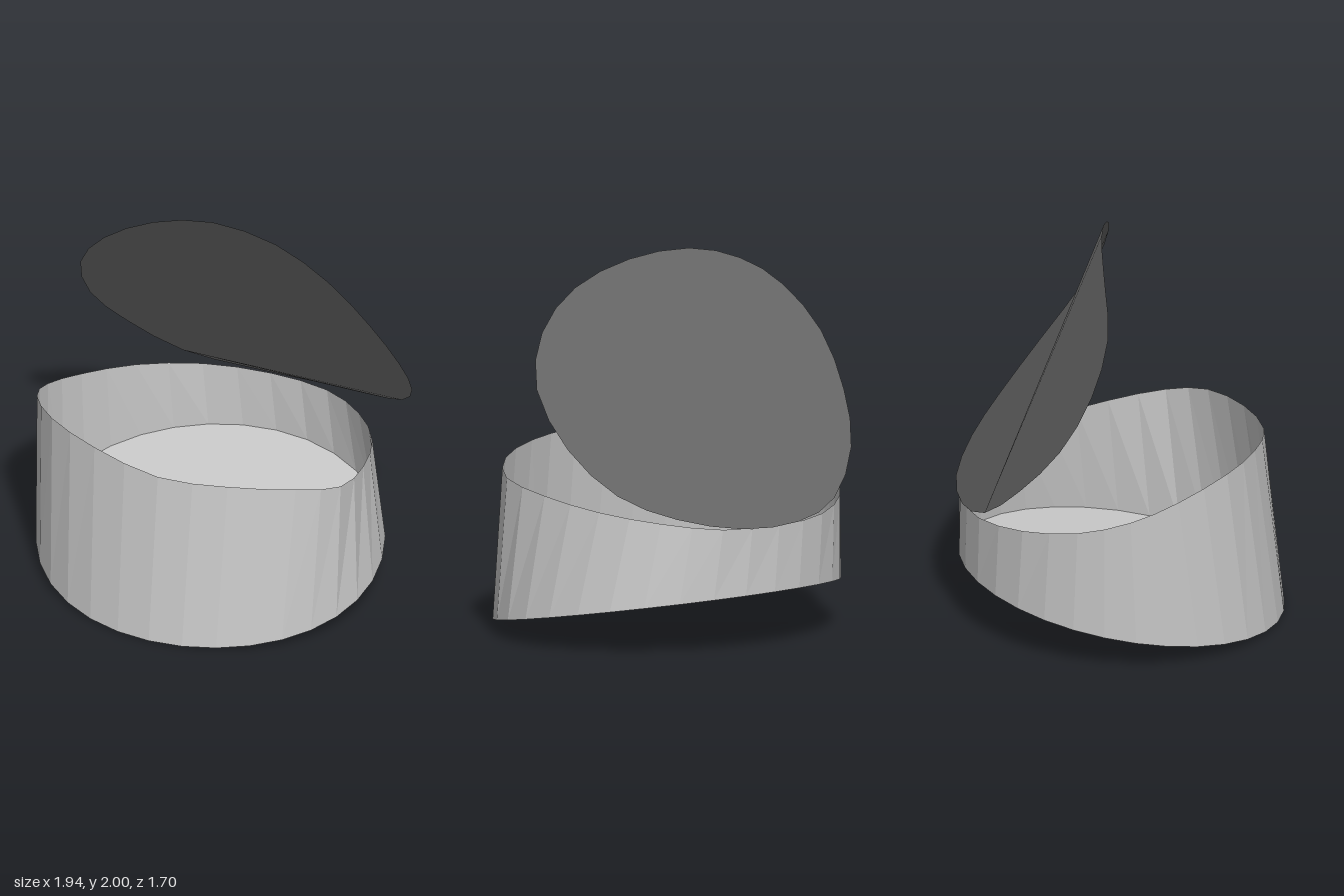
import * as THREE from 'three';

const SEGMENTS = 32;

// Resample a closed outline, front or top point first, running towards +x
function outline(points) {
  const curve = new THREE.CatmullRomCurve3(
    points.map((p) => new THREE.Vector3(...p)), true, 'catmullrom', 0.5);
  return curve.getPoints(SEGMENTS).slice(0, SEGMENTS);
}

// Unindexed triangles keep every facet flat
function facets(corners) {
  const geometry = new THREE.BufferGeometry().setFromPoints(corners);
  geometry.computeVertexNormals();
  return geometry;
}

// Fill a loop with a fan of triangles from one of its corners
function fan(loop, start = 0) {
  const at = (i) => loop[(start + i) % loop.length];
  const corners = [];
  for (let i = 1; i < loop.length - 1; i++) corners.push(at(0), at(i), at(i + 1));
  return facets(corners);
}

// Join two loops with a band of quads
function band(lower, upper) {
  const corners = [];
  lower.forEach((a, i) => {
    const j = (i + 1) % lower.length;
    corners.push(a, lower[j], upper[j], a, upper[j], upper[i]);
  });
  return facets(corners);
}

export function createModel() {
  const model = new THREE.Group();
  const bodyGrey = new THREE.MeshStandardMaterial({ color: 0xc8c8c8, side: THREE.DoubleSide });
  bodyGrey.name = 'light grey';
  const lidGrey = new THREE.MeshStandardMaterial({ color: 0x666666, side: THREE.DoubleSide });
  lidGrey.name = 'dark grey';

  const add = (name, geometry, material) => {
    const mesh = new THREE.Mesh(geometry, material);
    mesh.name = name;
    model.add(mesh);
  };

  // Tilted oval base, slightly fuller on the +x side
  const base = Array.from({ length: SEGMENTS }, (_, i) => {
    const t = (i / SEGMENTS) * Math.PI * 2;
    const s = Math.sin(t);
    const z = 0.843 * Math.cos(t) + 0.03 * s * s * (1 + s);
    return new THREE.Vector3(-0.037 + 0.925 * s, Math.max(0, (0.843 - z) * 0.178), z);
  });

  // Wavy upper rim of the container
  const rim = outline([
    [-0.03, 0.947, 0.74], [0.33, 0.932, 0.665], [0.645, 0.9, 0.505], [0.81, 0.84, 0.3],
    [0.81, 0.787, 0], [0.72, 0.735, -0.33], [0.53, 0.69, -0.6], [0.27, 0.655, -0.79],
    [-0.07, 0.645, -0.84], [-0.42, 0.657, -0.77], [-0.71, 0.695, -0.57], [-0.9, 0.75, -0.3],
    [-0.975, 0.83, -0.03], [-0.93, 0.915, 0.22], [-0.73, 0.985, 0.49], [-0.42, 0.985, 0.66],
  ]);

  // Warped edge of the raised lid, hinged at the back of the rim
  const lidEdge = outline([
    [-0.08, 2, -0.105], [0.29, 1.98, -0.065], [0.61, 1.86, -0.01], [0.84, 1.65, -0.015],
    [0.965, 1.38, -0.12], [0.94, 1.09, -0.34], [0.79, 0.86, -0.56], [0.53, 0.73, -0.73],
    [0.18, 0.655, -0.84], [-0.2, 0.65, -0.84], [-0.52, 0.725, -0.75], [-0.77, 0.94, -0.59],
    [-0.89, 1.2, -0.39], [-0.875, 1.49, -0.225], [-0.7, 1.74, -0.125], [-0.42, 1.91, -0.115],
  ]);

  add('floor', fan(base), bodyGrey);
  add('wall', band(base, rim), bodyGrey);

  // The lid shades as one even face
  const lid = fan(lidEdge, 20);
  const normal = new THREE.Vector3(0, 0.48, -0.877).normalize();
  const normals = lid.getAttribute('normal');
  for (let i = 0; i < normals.count; i++) normals.setXYZ(i, normal.x, normal.y, normal.z);
  add('lid', lid, lidGrey);

  return model;
}
